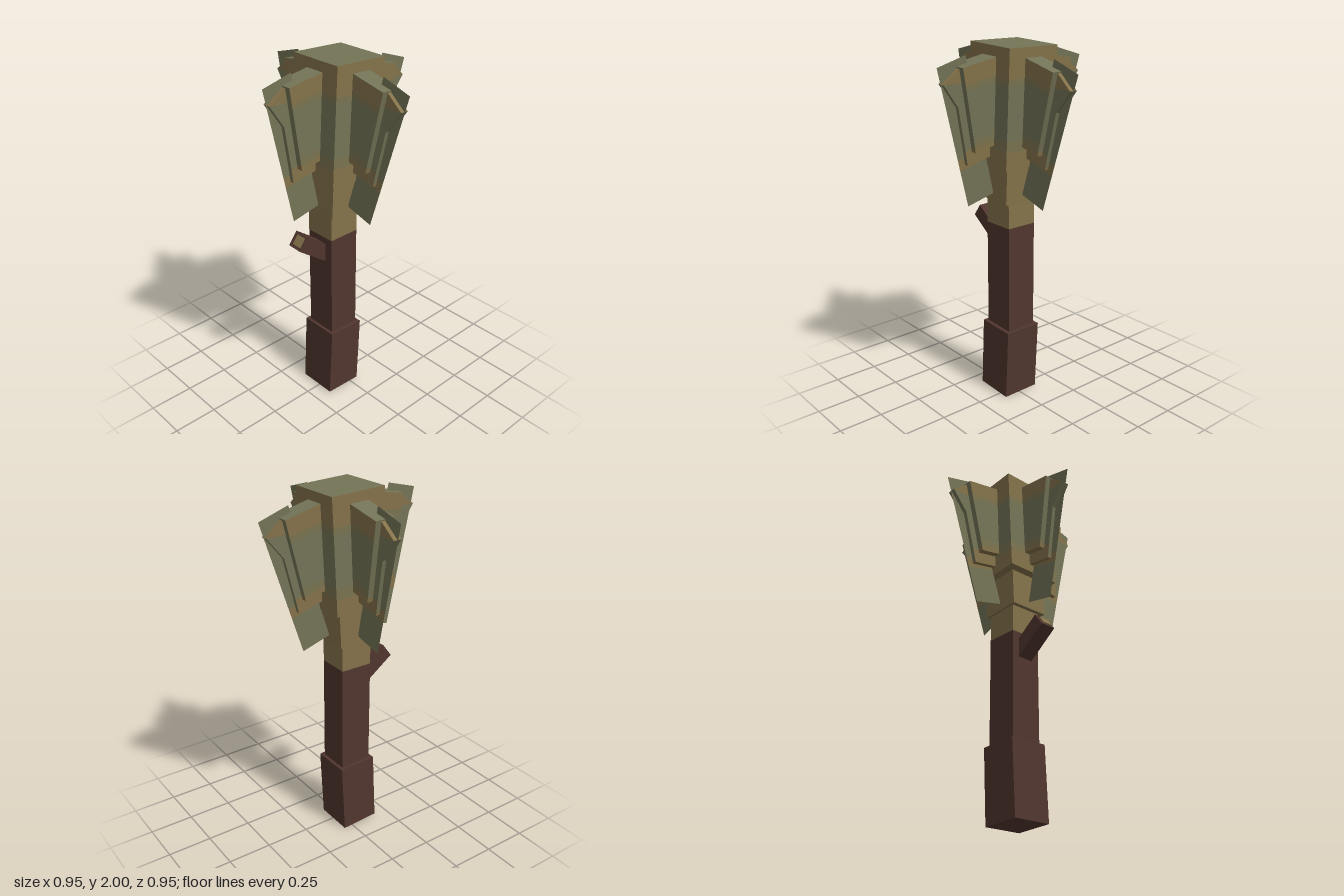
import * as THREE from 'three';

const mat = (name, color) => {
  const m = new THREE.MeshStandardMaterial({ color, side: THREE.DoubleSide });
  m.name = name;
  return m;
};

export function createModel() {
  const green = mat('weathered green', 0x747457);
  const tan = mat('tan', 0x84724a);
  const blend = mat('olive tan', 0x7a7350);
  const brown = mat('dark brown', 0x51362f);

  const model = new THREE.Group();
  model.name = 'mace';

  const box = (parent, name, size, pos, material, tilt = 0) => {
    const mesh = new THREE.Mesh(new THREE.BoxGeometry(...size), material);
    mesh.name = name;
    mesh.position.set(...pos);
    mesh.rotation.x = tilt;
    parent.add(mesh);
    return mesh;
  };
  const shapeOf = pts => new THREE.Shape(pts.map(p => new THREE.Vector2(...p)));
  // Flat-sided slab centred on z = 0; caps and rim can differ in colour
  const slab = (parent, name, pts, depth, cap, rim) => {
    const geo = new THREE.ExtrudeGeometry(shapeOf(pts), { depth, bevelEnabled: false });
    geo.translate(0, 0, -depth / 2);
    const mesh = new THREE.Mesh(geo, [cap, rim]);
    mesh.name = name;
    parent.add(mesh);
  };
  // Slice of a quad [topIn, topOut, bottomOut, bottomIn] between two fractions from its top
  const mix = (a, b, t) => [a[0] + (b[0] - a[0]) * t, a[1] + (b[1] - a[1]) * t];
  const slice = ([ti, to, bo, bi], t0, t1) =>
    [mix(ti, bi, t0), mix(to, bo, t0), mix(to, bo, t1), mix(ti, bi, t1)];

  // Handle
  const tilt = -0.05;
  box(model, 'gripBase', [0.222, 0.41, 0.22], [-0.01, 0.211, 0.045], brown, tilt);
  box(model, 'shaft', [0.18, 0.66, 0.184], [-0.01, 0.69, 0.035], brown);
  box(model, 'upperShaft', [0.18, 0.2, 0.184], [-0.01, 1.12, 0.035], tan);

  // Side stub with a pale cut end
  const stub = new THREE.Group();
  stub.name = 'stub';
  stub.position.set(-0.012, 1.042, 0.28);
  stub.rotation.set(-0.63, 0, -0.03);
  box(stub, 'stubBody', [0.09, 0.087, 0.26], [0, 0, -0.13], brown);
  box(stub, 'stubCutEnd', [0.058, 0.056, 0.006], [0.006, 0.002, 0.001], tan);
  model.add(stub);

  // Head, leaning slightly back
  const head = new THREE.Group();
  head.name = 'head';
  head.position.set(0, 1.685, 0.012);
  head.rotation.x = tilt;
  model.add(head);
  box(head, 'neck', [0.225, 0.21, 0.225], [0, -0.412, 0], tan);

  // Head block in stacked colour bands, with a green top
  const bands = [
    [-0.31, -0.215, tan], [-0.215, -0.16, blend], [-0.16, 0.125, green],
    [0.125, 0.155, blend], [0.155, 0.308, tan],
  ];
  bands.forEach(([y0, y1, m], i) => {
    const mats = i === 4 ? [m, m, green, m, m, m] : m;
    box(head, 'headBlock', [0.315, y1 - y0, 0.315], [0, (y0 + y1) / 2, 0], mats);
  });

  // Four identical flanges
  const inner = [[0.12, 0.263], [0.36, 0.215], [0.275, -0.22], [0.12, -0.189]];
  const plate = [[0.305, 0.267], [0.476, 0.217], [0.277, -0.52], [0.11, -0.477]];
  for (let k = 0; k < 4; k++) {
    const flange = new THREE.Group();
    flange.name = 'flange';
    flange.rotation.y = k * Math.PI / 2;
    head.add(flange);

    // Thick inner rib
    [[0, 0.2, tan, green], [0.2, 0.26, blend, green], [0.26, 0.85, green, green],
      [0.85, 0.94, blend, green], [0.94, 1, tan, tan]]
      .forEach(([a, b, cap, rim]) => slab(flange, 'innerRib', slice(inner, a, b), 0.11, cap, rim));

    // Slim middle rib with a pointed upper corner
    slab(flange, 'ribTip', [[0.2, 0.2], [0.355, 0.21], [0.45, 0.135], [0.2, 0.135]], 0.045, tan, tan);
    slab(flange, 'middleRib',
      [[0.2, 0.135], [0.45, 0.135], [0.362, 0.015], [0.316, -0.21], [0.12, -0.175]], 0.045, green, green);
    slab(flange, 'middleRibFoot',
      [[0.12, -0.175], [0.316, -0.21], [0.304, -0.275], [0.12, -0.24]], 0.045, tan, green);
    slab(flange, 'middleRibSole',
      [[0.12, -0.24], [0.304, -0.275], [0.301, -0.29], [0.12, -0.255]], 0.045, tan, tan);

    // Paper-thin outer blade
    [[0, 0.65, green], [0.65, 0.73, tan], [0.73, 1, green]].forEach(([a, b, m]) => {
      const blade = new THREE.Mesh(new THREE.ShapeGeometry(shapeOf(slice(plate, a, b))), m);
      blade.name = 'blade';
      flange.add(blade);
    });
  }
  return model;
}
